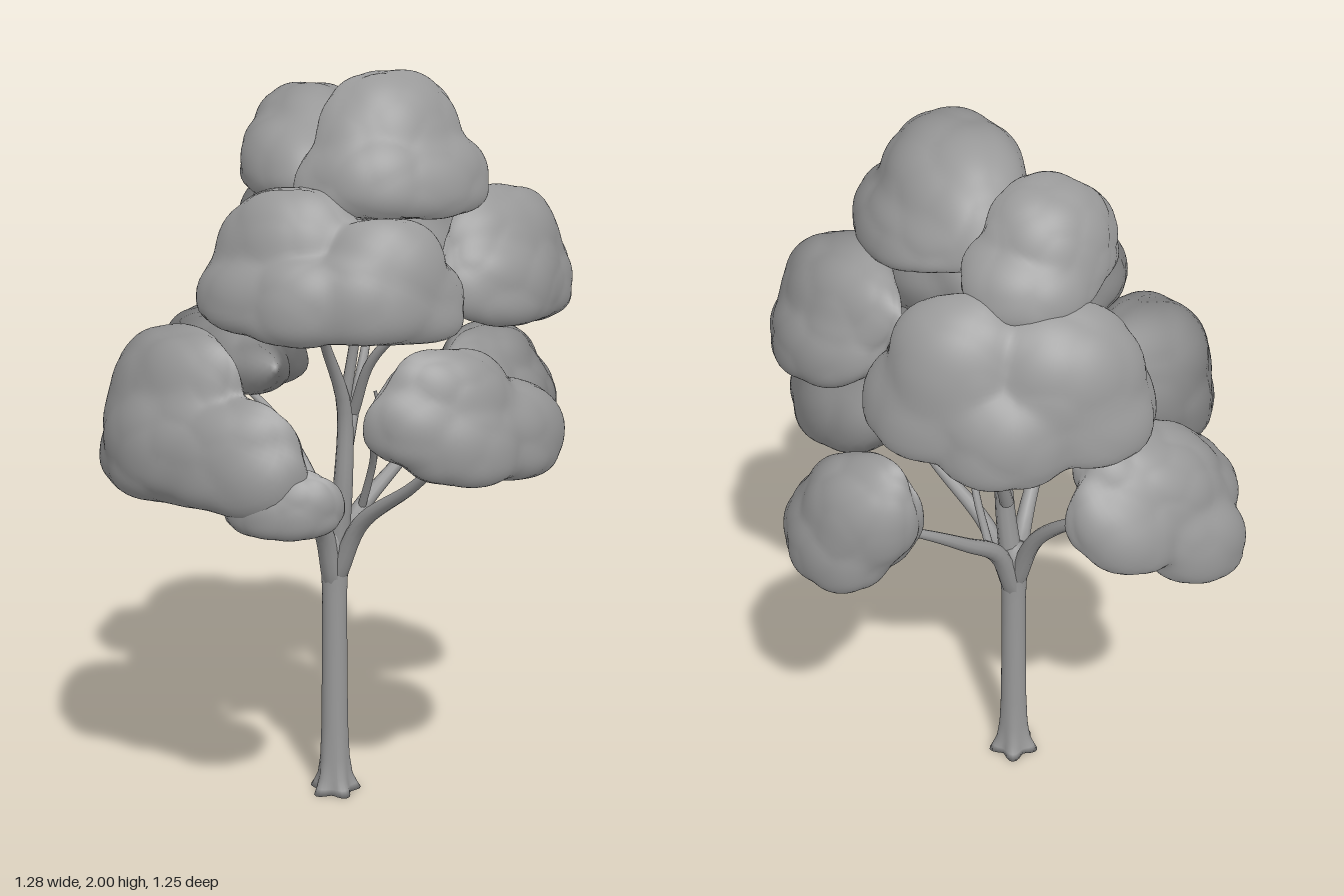
import * as THREE from 'three';
import { mergeVertices } from 'three/addons/utils/BufferGeometryUtils.js';

const grey = new THREE.MeshStandardMaterial({ color: 0x999999 });
grey.name = 'plain grey';

const v = (p) => new THREE.Vector3(...p);

// Blended field of full, flat-bottomed domes, each filling a box [x0, x1, y0, y1, z0, z1]; above 1 is inside
function domeField(boxes, p) {
  let sum = 0;
  for (const [x0, x1, y0, y1, z0, z1] of boxes) {
    const yc = y0 + (y1 - y0) * 0.36;
    const x = (p.x - (x0 + x1) / 2) / ((x1 - x0) / 2);
    const z = (p.z - (z0 + z1) / 2) / ((z1 - z0) / 2);
    const y = p.y > yc ? (p.y - yc) / (y1 - yc) : (yc - p.y) / (yc - y0);
    sum += Math.exp(-7 * (Math.pow(x * x + z * z, 1.3) + Math.pow(y, 2.4) - 1));
  }
  return sum;
}

// One continuous skin around the domes, with shallow puffs over it
function leafClump(boxes, seed) {
  const puffs = [];
  for (let i = 0; i < 48; i++) {
    const y = 1 - (2 * i + 1) / 48, a = i * 2.4 + seed + 0.5 * Math.sin(i * 5.1 + seed), r = Math.sqrt(1 - y * y);
    puffs.push(new THREE.Vector3(r * Math.cos(a), y, r * Math.sin(a)));
  }
  // Centre of the clump, weighted by dome volume
  const centre = new THREE.Vector3();
  let total = 0;
  for (const [x0, x1, y0, y1, z0, z1] of boxes) {
    const w = (x1 - x0) * (y1 - y0) * (z1 - z0);
    centre.add(v([x0 + x1, y0 * 1.2 + y1 * 0.8, z0 + z1]).multiplyScalar(w / 2));
    total += w;
  }
  centre.divideScalar(total);

  let geo = new THREE.IcosahedronGeometry(1, 17);
  geo.deleteAttribute('uv');
  geo.deleteAttribute('normal');
  geo = mergeVertices(geo, 1e-4);
  const pos = geo.attributes.position, d = new THREE.Vector3(), p = new THREE.Vector3();
  const inside = (r) => domeField(boxes, p.copy(d).multiplyScalar(r).add(centre)) > 1;
  for (let i = 0; i < pos.count; i++) {
    d.fromBufferAttribute(pos, i).normalize();
    let out = 0.56;
    while (out > 0.02 && !inside(out)) out -= 0.01;
    let step = 0.005;
    for (let k = 0; k < 7; k++, step /= 2) out += inside(out) ? step : -step;
    let near = 4;
    for (const c of puffs) near = Math.min(near, c.distanceToSquared(d));
    out *= 1.015 - 0.33 * Math.min(near, 0.14);
    pos.setXYZ(i, centre.x + d.x * out, centre.y + d.y * out, centre.z + d.z * out);
  }
  geo.computeVertexNormals();
  // Normals lean away from the tree's axis, so the whole canopy shades as one mass
  const normal = geo.attributes.normal;
  for (let i = 0; i < pos.count; i++) {
    p.fromBufferAttribute(pos, i).sub(v([0, 1.35, 0])).multiply(v([1, 0.4, 1])).normalize().multiplyScalar(0.9);
    d.fromBufferAttribute(normal, i).add(p).normalize();
    normal.setXYZ(i, d.x, d.y, d.z);
  }
  return new THREE.Mesh(geo, grey);
}

// Tube along a smooth curve, narrowing from r0 to r1
function limb(points, r0, r1, segs = 20) {
  const curve = new THREE.CatmullRomCurve3(points.map(v));
  const geo = new THREE.TubeGeometry(curve, segs, 1, 10);
  const pos = geo.attributes.position, p = new THREE.Vector3();
  for (let i = 0; i < pos.count; i++) {
    const t = Math.floor(i / 11) / segs, c = curve.getPointAt(t);
    p.fromBufferAttribute(pos, i).sub(c).multiplyScalar(r0 + (r1 - r0) * t).add(c);
    pos.setXYZ(i, p.x, p.y, p.z);
  }
  return new THREE.Mesh(geo, grey);
}

// Trunk with a root flare of five toes
function makeTrunk() {
  const profile = [[0, 0], [0.062, 0], [0.056, 0.018], [0.047, 0.045], [0.041, 0.1], [0.037, 0.2], [0.035, 0.4],
    [0.034, 0.58], [0.037, 0.66], [0.041, 0.72], [0.036, 0.76], [0, 0.79]];
  const geo = new THREE.LatheGeometry(profile.map(([r, y]) => new THREE.Vector2(r, y)), 40);
  const pos = geo.attributes.position;
  for (let i = 0; i < pos.count; i++) {
    const x = pos.getX(i), y = pos.getY(i), z = pos.getZ(i);
    const k = 1 + 0.2 * Math.exp(-y / 0.05) * Math.cos(5 * Math.atan2(z, x));
    pos.setXYZ(i, x * k, y, z * k);
  }
  geo.computeVertexNormals();
  const trunk = new THREE.Mesh(geo, grey);
  trunk.position.x = -0.01;
  trunk.name = 'trunk';
  return trunk;
}

const clumps = {
  crownFoliage: [[-0.08, 0.29, 1.65, 2.0, -0.03, 0.33], [-0.13, 0.24, 1.64, 1.84, -0.07, 0.32],
    [0.04, 0.35, 1.64, 1.86, -0.02, 0.36], [-0.08, 0.27, 1.65, 1.86, 0.08, 0.38]],
  crownBackFoliage: [[-0.21, 0.1, 1.67, 1.95, -0.29, 0.02], [-0.25, 0.02, 1.66, 1.88, -0.22, 0.09],
    [-0.16, 0.17, 1.65, 1.83, -0.34, 0.0]],
  middleFrontFoliage: [[-0.34, 0.03, 1.4, 1.73, 0.03, 0.42], [-0.39, -0.04, 1.38, 1.58, 0.05, 0.48],
    [-0.1, 0.21, 1.37, 1.67, 0.2, 0.57], [-0.3, 0.02, 1.37, 1.58, 0.22, 0.56], [0.02, 0.26, 1.37, 1.56, 0.22, 0.53],
    [-0.15, 0.14, 1.38, 1.6, 0.3, 0.59]],
  middleLeftFoliage: [[0.25, 0.55, 1.39, 1.71, -0.01, 0.32], [0.3, 0.59, 1.36, 1.6, -0.04, 0.29],
    [0.24, 0.52, 1.37, 1.6, 0.06, 0.38]],
  middleBackFoliage: [[-0.23, 0.16, 1.4, 1.71, -0.53, -0.15], [-0.26, 0.1, 1.37, 1.57, -0.55, -0.15],
    [0.05, 0.39, 1.4, 1.74, -0.44, -0.1], [-0.05, 0.3, 1.34, 1.58, -0.55, -0.22], [0.08, 0.43, 1.37, 1.61, -0.44, -0.06]],
  lowerRightFoliage: [[-0.61, -0.27, 1.02, 1.37, -0.02, 0.35], [-0.64, -0.28, 0.95, 1.26, -0.01, 0.42],
    [-0.52, -0.14, 0.95, 1.21, 0.12, 0.5], [-0.4, -0.14, 0.95, 1.13, 0.25, 0.55]],
  lowerRightTuft: [[-0.35, -0.05, 0.9, 1.05, 0.27, 0.57]],
  lowerFrontFoliage: [[0.05, 0.39, 1.06, 1.335, 0.18, 0.57], [0.0, 0.3, 1.07, 1.26, 0.24, 0.6],
    [0.2, 0.52, 1.01, 1.25, 0.14, 0.54], [0.08, 0.38, 1.03, 1.23, 0.34, 0.63]],
  lowerLeftFoliage: [[0.31, 0.6, 1.02, 1.28, -0.37, -0.04], [0.28, 0.58, 0.98, 1.2, -0.31, 0.03],
    [0.37, 0.64, 0.97, 1.2, -0.37, 0.0]],
  lowerBackFoliage: [[-0.44, -0.09, 1.11, 1.32, -0.56, -0.17], [-0.49, -0.19, 1.09, 1.26, -0.52, -0.16],
    [-0.3, -0.02, 1.08, 1.26, -0.62, -0.28], [-0.46, -0.2, 1.02, 1.22, -0.62, -0.38], [-0.36, -0.1, 1.1, 1.25, -0.4, -0.1]],
};

// Path of each bough from the fork to its foliage, with start radius
const boughs = [
  [0.031, [[-0.015, 0.63, 0.005], [-0.05, 0.78, 0.05], [-0.13, 0.9, 0.16], [-0.24, 0.97, 0.27], [-0.36, 1.05, 0.28]]],
  [0.031, [[-0.005, 0.63, -0.005], [0.05, 0.78, -0.04], [0.15, 0.88, -0.1], [0.27, 0.98, -0.15], [0.42, 1.07, -0.18]]],
  [0.028, [[0, 0.65, 0.01], [0.05, 0.8, 0.07], [0.16, 0.94, 0.22], [0.26, 1.1, 0.37]]],
  [0.028, [[-0.015, 0.65, -0.005], [-0.05, 0.85, -0.09], [-0.14, 1.02, -0.25], [-0.27, 1.14, -0.38]]],
  [0.034, [[-0.01, 0.66, 0], [0.01, 0.9, 0.02], [0.01, 1.12, 0.03], [-0.05, 1.3, 0.1], [-0.1, 1.46, 0.24]]],
  [0.019, [[0.01, 0.92, 0], [0.06, 1.12, -0.07], [0.11, 1.32, -0.17], [0.1, 1.45, -0.28]]],
  [0.016, [[0.05, 1.08, -0.05], [0.09, 1.24, 0.02], [0.2, 1.36, 0.1], [0.38, 1.44, 0.17]]],
  [0.016, [[0.01, 1.1, 0.02], [0.04, 1.3, 0.03], [0.06, 1.5, 0.06], [0.1, 1.7, 0.12]]],
  [0.012, [[0.04, 1.32, 0.03], [0.03, 1.5, -0.05], [-0.03, 1.7, -0.14]]],
  [0.012, [[0.07, 0.8, -0.05], [0.09, 0.96, 0.03], [0.08, 1.08, 0.12], [0.14, 1.16, 0.3]]],
];

export function createModel() {
  const tree = new THREE.Group();
  tree.name = 'tree';
  tree.add(makeTrunk());

  const branches = new THREE.Group();
  branches.name = 'branches';
  boughs.forEach(([radius, path], i) => {
    const bough = limb(path, radius, 0.007);
    bough.name = 'bough';
    branches.add(bough);
    // Twigs fanning out near the tip
    const curve = new THREE.CatmullRomCurve3(path.map(v));
    [0.8, 0.9].forEach((t, k) => {
      const s = curve.getPointAt(t), a = i * 1.7 + k * 2.3, c = Math.cos(a), n = Math.sin(a);
      const twig = limb([s.toArray(), [s.x + c * 0.03, s.y + 0.03, s.z + n * 0.03],
        [s.x + c * 0.05, s.y + 0.08, s.z + n * 0.05]], 0.008, 0.004, 8);
      twig.name = 'twig';
      branches.add(twig);
    });
  });
  tree.add(branches);

  Object.entries(clumps).forEach(([name, boxes], i) => {
    const clump = leafClump(boxes, i * 1.3);
    clump.name = name;
    tree.add(clump);
  });
  return tree;
}
